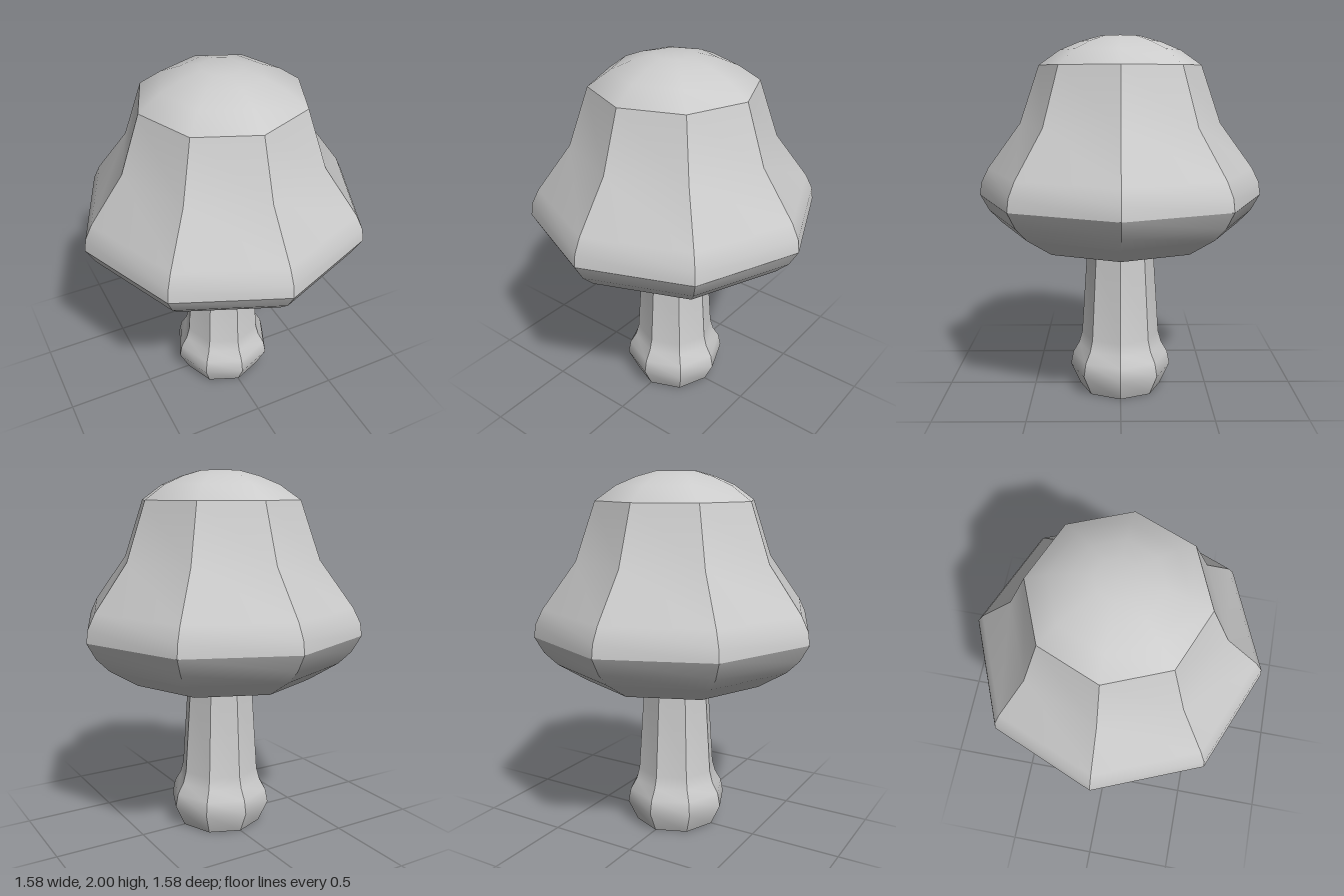
import * as THREE from 'three';
import { toCreasedNormals } from 'three/addons/utils/BufferGeometryUtils.js';

const material = new THREE.MeshStandardMaterial({ color: 0xcccccc });

// Eight-sided turned part: smooth along its profile, sharp between its sides.
// Profile points are [radius, height], listed from bottom to top.
function turnedPart(name, profile, creaseDegrees) {
  const points = profile.map(([r, y]) => new THREE.Vector2(r, y));
  const geometry = toCreasedNormals(
    new THREE.LatheGeometry(points, 8),
    THREE.MathUtils.degToRad(creaseDegrees)
  );
  const mesh = new THREE.Mesh(geometry, material);
  mesh.name = name;
  return mesh;
}

export function createModel() {
  const group = new THREE.Group();
  group.name = 'mushroom';

  // Stem with a bulging foot
  group.add(turnedPart('stem', [
    [0, 0], [0.235, 0], [0.29, 0.12], [0.275, 0.195],
    [0.24, 0.255], [0.222, 0.32], [0.185, 0.87],
  ], 35));

  // Bell-shaped cap with a flat underside
  group.add(turnedPart('cap', [
    [0, 0.87], [0.51, 0.87], [0.67, 0.97], [0.74, 1.04], [0.79, 1.13],
    [0.78, 1.2], [0.74, 1.28], [0.555, 1.53], [0.445, 1.845],
    [0.33, 1.925], [0.22, 1.97], [0.11, 2], [0, 2],
  ], 30));

  return group;
}
